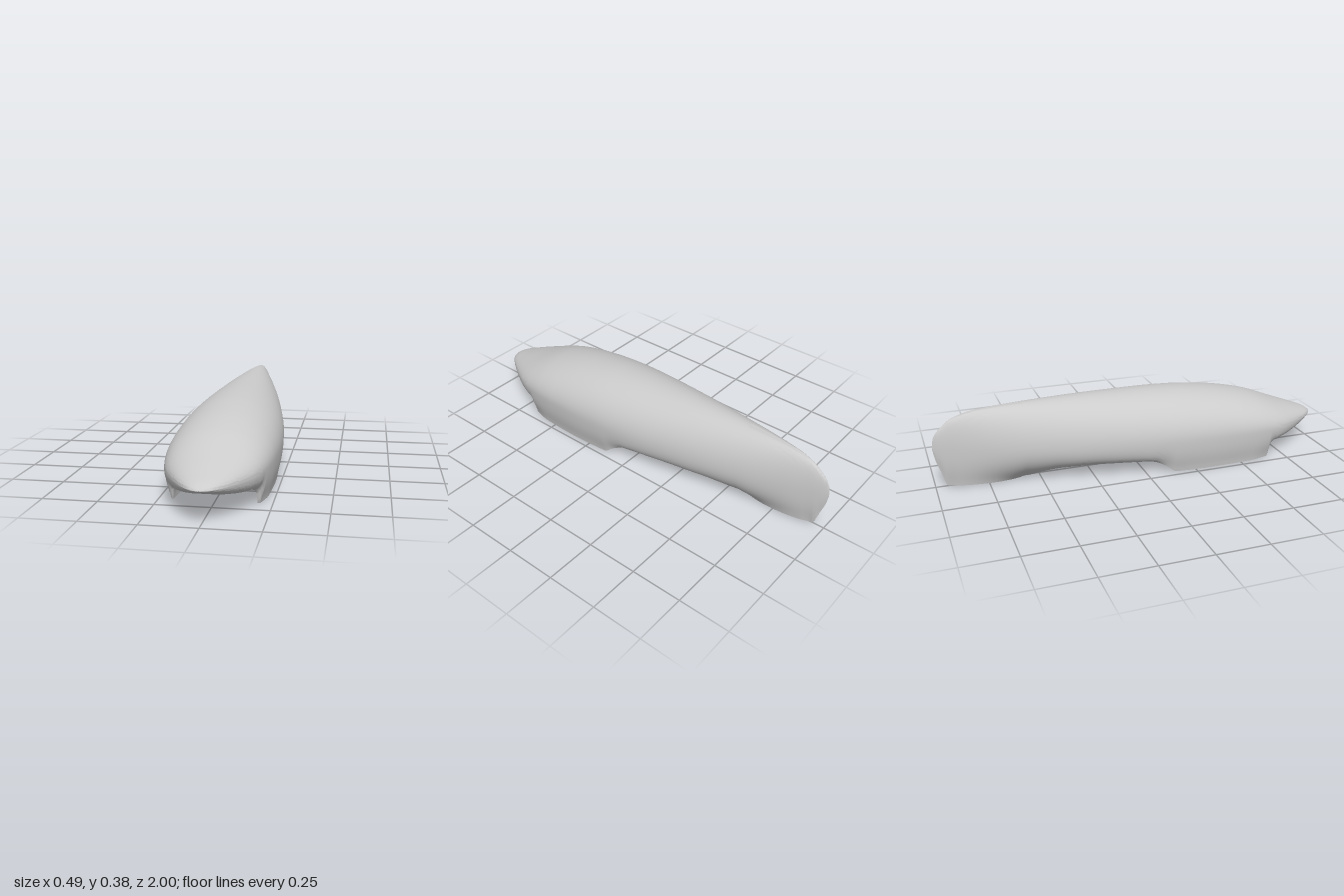
import * as THREE from 'three';
import { toCreasedNormals } from 'three/addons/utils/BufferGeometryUtils.js';

// Outline curves along the length, as [z, value] pairs from tail to nose
const curves = {
  top: [[-1, 0.205], [-0.995, 0.24], [-0.985, 0.265], [-0.96, 0.295], [-0.9, 0.34], [-0.8, 0.367], [-0.6, 0.38],
    [-0.3, 0.385], [0, 0.382], [0.2, 0.374], [0.4, 0.352], [0.6, 0.31], [0.8, 0.237], [0.9, 0.2], [0.97, 0.173], [1, 0.152]],
  width: [[-1, 0.001], [-0.97, 0.013], [-0.9, 0.035], [-0.8, 0.066], [-0.6, 0.12], [-0.4, 0.163], [-0.2, 0.197], [0, 0.225],
    [0.2, 0.242], [0.35, 0.246], [0.5, 0.242], [0.6, 0.233], [0.7, 0.214], [0.76, 0.194], [0.8, 0.175], [0.9, 0.115],
    [0.96, 0.07], [0.985, 0.042], [0.995, 0.023], [1, 0.003]],
  waist: [[-1, 0.2], [-0.9, 0.19], [-0.6, 0.175], [0, 0.165], [0.5, 0.16], [0.8, 0.15], [1, 0.15]],
  // lower outer edge of the shell: half-width and height
  footX: [[-1, 0], [-0.94, 0.002], [-0.88, 0.02], [-0.8, 0.034], [-0.72, 0.039], [-0.65, 0.034], [-0.6, 0.022], [-0.57, 0.01],
    [-0.4, 0.06], [-0.2, 0.125], [0, 0.18], [0.1, 0.207], [0.15, 0.215], [0.35, 0.225], [0.55, 0.218], [0.66, 0.194],
    [0.7, 0.178], [0.8, 0.125], [0.9, 0.07], [1, 0.001]],
  footY: [[-1, 0.195], [-0.99, 0.14], [-0.97, 0.08], [-0.94, 0], [-0.57, 0], [-0.4, 0.04], [-0.2, 0.058], [0, 0.061],
    [0.04, 0.058], [0.1, 0.033], [0.15, 0], [0.66, 0], [0.668, 0.025], [0.678, 0.055], [0.7, 0.075], [0.8, 0.088],
    [0.9, 0.111], [1, 0.148]],
  // inner edge of the skirt and the belly between
  innerX: [[-1, 0], [-0.94, 0.001], [-0.72, 0.02], [-0.57, 0.005], [-0.4, 0.045], [-0.2, 0.1], [0, 0.16], [0.15, 0.181],
    [0.35, 0.178], [0.55, 0.178], [0.66, 0.184], [0.7, 0.165], [0.8, 0.11], [0.9, 0.06], [1, 0]],
  belly: [[-1, 0.195], [-0.99, 0.14], [-0.97, 0.08], [-0.94, 0], [-0.57, 0], [-0.4, 0.035], [-0.2, 0.053], [0, 0.057],
    [0.5, 0.057], [0.66, 0.064], [0.7, 0.069], [0.8, 0.084], [0.9, 0.109], [1, 0.148]],
  // how round the lower side turns under
  turnX: [[-1, 0.4], [-0.75, 0.35], [-0.57, 0.45], [-0.3, 0.7], [0, 0.7], [0.15, 0.3], [0.66, 0.3], [0.72, 0.7], [1, 0.7]],
  turnY: [[-1, 0.3], [-0.75, 0.28], [-0.57, 0.2], [-0.3, 0.1], [0, 0.08], [0.15, 0.3], [0.66, 0.3], [0.72, 0.08], [1, 0.05]],
};

// Smooth interpolation that never overshoots its points
function curve(pts) {
  const n = pts.length;
  const d = pts.slice(1).map((p, i) => (p[1] - pts[i][1]) / (p[0] - pts[i][0]));
  const m = pts.map((_, i) => {
    if (i === 0) return d[0];
    if (i === n - 1) return d[n - 2];
    return d[i - 1] * d[i] <= 0 ? 0 : 2 * d[i - 1] * d[i] / (d[i - 1] + d[i]);
  });
  return z => {
    let i = 0;
    while (i < n - 2 && z > pts[i + 1][0]) i++;
    const h = pts[i + 1][0] - pts[i][0], t = (z - pts[i][0]) / h, s = 1 - t;
    return (1 + 2 * t) * s * s * pts[i][1] + t * s * s * h * m[i]
      + t * t * (3 - 2 * t) * pts[i + 1][1] - t * t * s * h * m[i + 1];
  };
}

const at = Object.fromEntries(Object.entries(curves).map(([k, pts]) => [k, curve(pts)]));

// Half section from the roof centre, down the side, under the skirt, to the belly centre
function halfSection(z) {
  const v = Object.fromEntries(Object.keys(at).map(k => [k, at[k](z)]));
  const V = (x, y) => new THREE.Vector2(x, y);
  const pts = [];
  for (let i = 0; i < 20; i++) {
    const a = i / 20 * Math.PI / 2;
    pts.push(V(v.width * Math.sin(a), v.waist + (v.top - v.waist) * Math.cos(a)));
  }
  const drop = v.waist - v.footY;
  const side = new THREE.CubicBezierCurve(V(v.width, v.waist), V(v.width, v.waist - drop * 0.55),
    V(v.footX + (v.width - v.footX) * v.turnX, v.footY + drop * v.turnY), V(v.footX, v.footY));
  pts.push(...side.getPoints(14));
  const inner = new THREE.CubicBezierCurve(V(v.innerX, v.footY), V(v.innerX - 0.02 * v.innerX, v.footY + (v.belly - v.footY) * 0.8),
    V(v.innerX * 0.95, v.belly), V(v.innerX * 0.82, v.belly));
  pts.push(...inner.getPoints(8));
  for (let i = 1; i <= 4; i++) pts.push(V(v.innerX * 0.82 * (1 - i / 4), v.belly));
  return pts;
}

function shellGeometry() {
  // Even stations plus every curve point, without near duplicates
  const zs = Object.values(curves).flatMap(pts => pts.map(p => p[0]));
  for (let i = 0; i <= 200; i++) zs.push(-Math.cos(i / 200 * Math.PI) * 0.3 + (i / 100 - 1) * 0.7);
  for (let i = 0; i < 12; i++) zs.push(0.655 + i * 0.004);
  zs.sort((a, b) => a - b);
  const stations = zs.filter((z, i) => i === 0 || z - zs[i - 1] > 0.0004);

  const position = [], index = [];
  let ring = 0;
  stations.forEach((z, i) => {
    const half = halfSection(z);
    const mirrored = half.slice(1, -1).reverse().map(p => new THREE.Vector2(-p.x, p.y));
    const loop = [...half, ...mirrored];
    ring = loop.length;
    loop.forEach(p => position.push(p.x, p.y, z));
    if (i === 0) return;
    for (let j = 0; j < ring; j++) {
      const k = (j + 1) % ring, a = (i - 1) * ring, c = i * ring;
      index.push(a + j, c + j, a + k, a + k, c + j, c + k);
    }
  });
  const geo = new THREE.BufferGeometry();
  geo.setAttribute('position', new THREE.Float32BufferAttribute(position, 3));
  geo.setIndex(index);
  return toCreasedNormals(geo, 0.8);
}

export function createModel() {
  const group = new THREE.Group();
  group.name = 'streamlinedBody';
  // Teardrop shell with two front wheel skirts and a tail fin foot
  const shell = new THREE.Mesh(shellGeometry(), new THREE.MeshStandardMaterial({ color: 0xcccccc }));
  shell.name = 'bodyShell';
  group.add(shell);
  return group;
}
